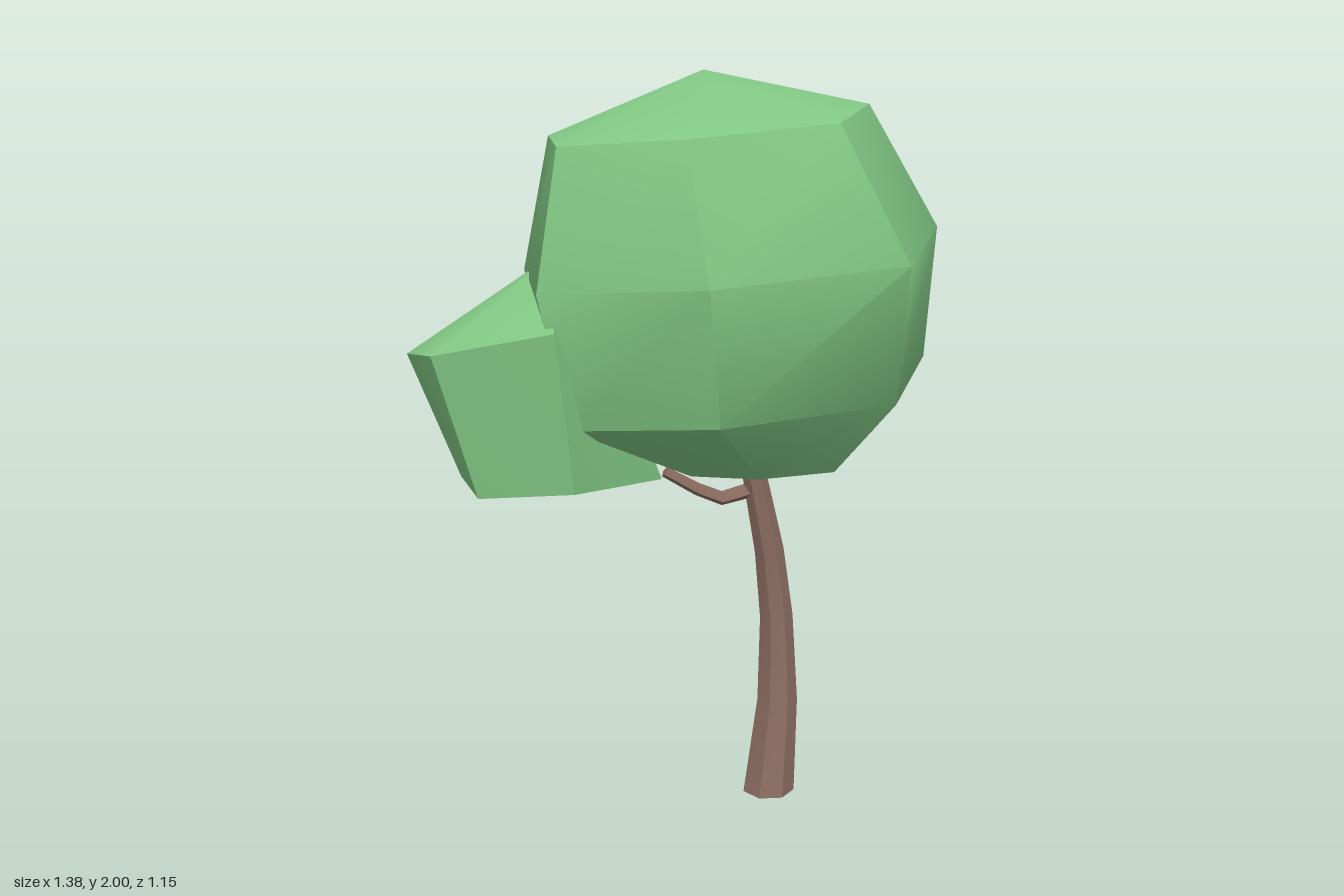
import * as THREE from 'three';
import { toCreasedNormals } from 'three/addons/utils/BufferGeometryUtils.js';
import { ConvexGeometry } from 'three/addons/geometries/ConvexGeometry.js';

const CREASE = 0.65;
const V = (x, y, z) => new THREE.Vector3(x, y, z);

// Skin between rings of equal count, listed from bottom to top
function loft(rings) {
  const pos = [];
  const tri = (a, b, c) => {
    if (a.distanceTo(b) < 1e-6 || b.distanceTo(c) < 1e-6 || a.distanceTo(c) < 1e-6) return;
    pos.push(...a.toArray(), ...b.toArray(), ...c.toArray());
  };
  for (let j = 0; j < rings.length - 1; j++) {
    const lo = rings[j], hi = rings[j + 1], n = lo.length;
    for (let i = 0; i < n; i++) {
      const k = (i + 1) % n;
      tri(lo[i], hi[i], lo[k]);
      tri(hi[i], hi[k], lo[k]);
    }
  }
  const g = new THREE.BufferGeometry();
  g.setAttribute('position', new THREE.Float32BufferAttribute(pos, 3));
  return g;
}

// Tapered limb along a path of [x, y, z, radius], closed at both ends
function limb(path, sides) {
  const up = V(0, 1, 0);
  const pts = path.map(([x, y, z]) => V(x, y, z));
  const rings = path.map(([, y, , r], j) => {
    const t = pts[Math.min(j + 1, pts.length - 1)].clone().sub(pts[Math.max(j - 1, 0)]).normalize();
    const q = new THREE.Quaternion().setFromUnitVectors(up, y === 0 ? up : t);
    return Array.from({ length: sides }, (_, i) => {
      const a = (i / sides) * Math.PI * 2;
      return V(Math.cos(a) * r, 0, Math.sin(a) * r).applyQuaternion(q).add(pts[j]);
    });
  });
  const cap = (p) => Array(sides).fill(p);
  return loft([cap(pts[0]), ...rings, cap(pts[pts.length - 1])]);
}

// Main crown: one irregular octagon, scaled and tilted at each level
function crownGeometry() {
  const outline = [[0.58, -0.03], [0.42, 0.32], [0, 0.575], [-0.41, 0.32],
    [-0.64, -0.03], [-0.46, -0.31], [0, -0.575], [0.42, -0.39]];
  // centre x, y, centre z, scale x, scale z
  const levels = [
    [0.17, 1.0, 0.01, 0.36, 0.48],
    [0.16, 1.21, -0.02, 0.91, 0.89],
    [0.1, 1.56, 0, 0.98, 1],
    [0.05, 1.88, -0.035, 0.76, 0.74],
  ];
  const rings = levels.map(([cx, y, cz, sx, sz]) => outline.map(([x, z]) =>
    V(cx + x * sx, y + 0.11 * x * sx, cz + z * sz)));
  return loft([Array(8).fill(V(0.17, 0.94, 0)), ...rings, Array(8).fill(V(-0.02, 2, 0))]);
}

// Side clump: faceted hull, partly buried in the crown
function clumpGeometry() {
  return new ConvexGeometry([
    // upper rim and peak
    V(-0.69, 1.34, -0.235), V(-0.65, 1.32, -0.4), V(-0.56, 1.31, -0.455), V(-0.4, 1.26, -0.485),
    V(-0.21, 1.36, -0.385), V(-0.36, 1.55, -0.2), V(-0.5, 1.4, 0), V(-0.05, 1.18, -0.28),
    // lower rim
    V(-0.6, 0.98, -0.19), V(-0.505, 0.98, -0.4), V(-0.37, 1.02, -0.45),
    V(-0.08, 0.95, -0.26), V(-0.06, 0.945, -0.12), V(-0.45, 1.0, 0),
  ]);
}

export function createModel() {
  const tree = new THREE.Group();
  tree.name = 'tree';
  const bark = new THREE.MeshStandardMaterial({ color: 0x8d6e63 });
  const leaves = new THREE.MeshStandardMaterial({ color: 0x81c784 });
  const add = (name, geometry, material) => {
    const mesh = new THREE.Mesh(toCreasedNormals(geometry, CREASE), material);
    mesh.name = name;
    tree.add(mesh);
  };

  add('trunk', limb([
    [0.225, 0, 0.007, 0.074], [0.258, 0.27, 0.006, 0.058], [0.252, 0.52, 0.005, 0.047],
    [0.222, 0.72, 0.004, 0.041], [0.162, 0.95, 0.003, 0.033], [0.15, 1.0, 0.003, 0.03],
  ], 7), bark);
  add('branch', limb([
    [0.17, 0.9, 0, 0.022], [0.1, 0.875, -0.055, 0.02],
    [0.04, 0.905, -0.085, 0.018], [-0.04, 0.96, -0.13, 0.015],
  ], 5), bark);
  add('crown', crownGeometry(), leaves);
  add('sideClump', clumpGeometry(), leaves);
  return tree;
}
